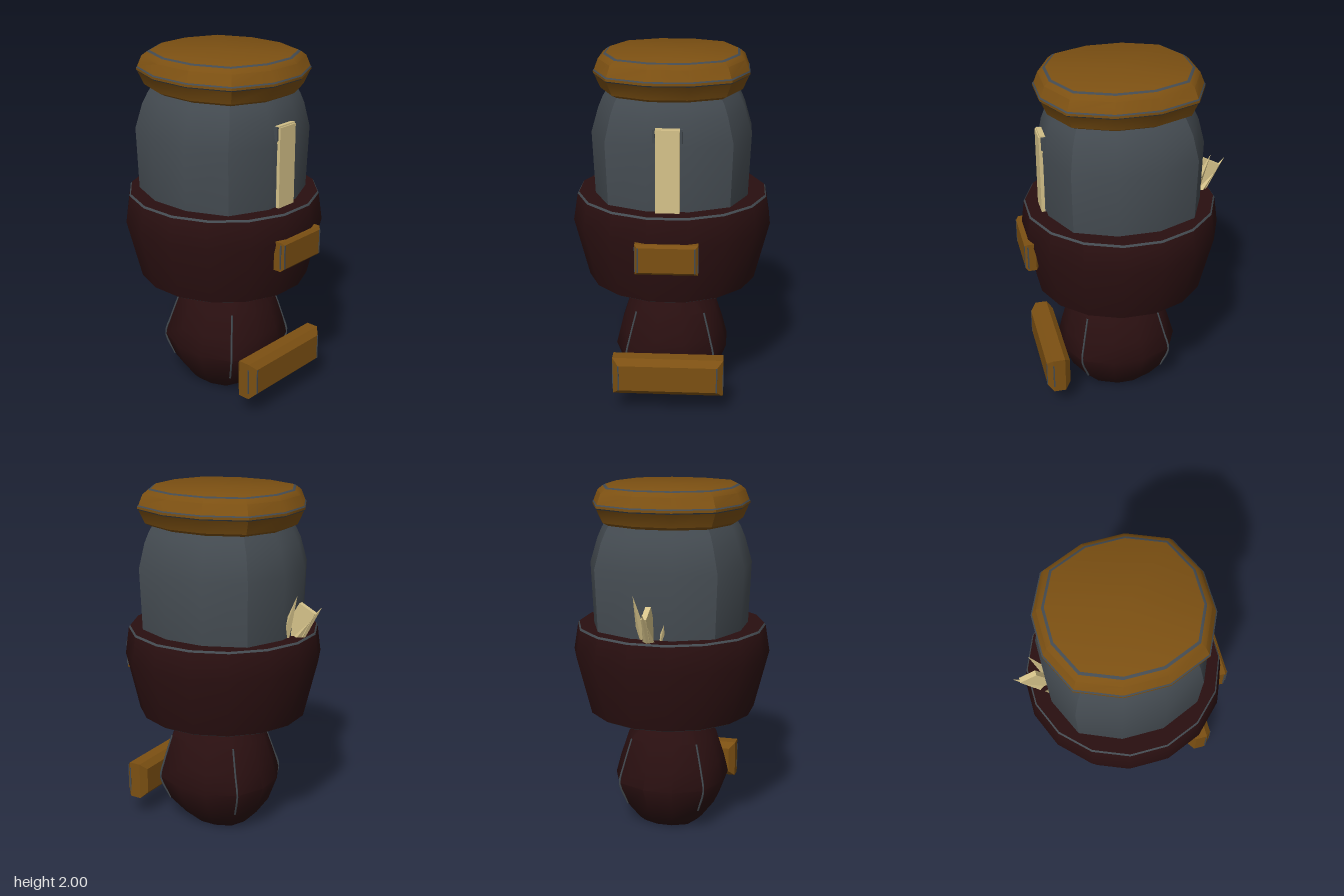
import * as THREE from 'three';
import { toCreasedNormals } from 'three/addons/utils/BufferGeometryUtils.js';

const mat = (name, color, extra = {}) => {
  const m = new THREE.MeshStandardMaterial({ color, ...extra });
  m.name = name;
  return m;
};

export function createModel() {
  const model = new THREE.Group();
  const gold = mat('gold', 0x7c5012);
  const grey = mat('grey', 0x444b51);
  const maroon = mat('maroon', 0x290f10);
  const cream = mat('cream', 0xd6c38a);

  const add = (name, geometry, material) => {
    const mesh = new THREE.Mesh(geometry, material);
    mesh.name = name;
    model.add(mesh);
    return mesh;
  };

  // Corner i of a ring [y, half width, half depth, centre z]; 12-sided rings bulge at the diagonals
  const corner = ([y, rx, rz, cz], i, n) => {
    const a = (i + 0.5) * 2 * Math.PI / n;
    const k = (n === 12 && i % 3 === 1 ? 1.06 : 1) / Math.cos(Math.PI / n);
    return new THREE.Vector3(Math.sin(a) * rx * k, y, cz + Math.cos(a) * rz * k);
  };

  // Closed loft through rings; a fifth ring value of 1 gives the band above it the trim colour
  const loft = (rings, n, crease = 0.6) => {
    const pos = [];
    const geo = new THREE.BufferGeometry();
    const push = (...pts) => pts.forEach(p => pos.push(p.x, p.y, p.z));
    const band = (trim, build) => {
      const start = pos.length / 3;
      for (let i = 0; i < n; i++) build(i, i + 1);
      geo.addGroup(start, pos.length / 3 - start, trim);
    };
    const cap = (ring, up) => band(0, (i, j) => {
      const c = new THREE.Vector3(0, ring[0], ring[3]);
      const a = corner(ring, i, n), b = corner(ring, j % n, n);
      up ? push(c, a, b) : push(c, b, a);
    });
    cap(rings[0], false);
    for (let r = 0; r < rings.length - 1; r++) {
      band(rings[r][4] || 0, (i, j) => {
        const a = corner(rings[r], i, n), b = corner(rings[r], j % n, n);
        const c = corner(rings[r + 1], j % n, n), d = corner(rings[r + 1], i, n);
        push(a, b, c, a, c, d);
      });
    }
    cap(rings[rings.length - 1], true);
    geo.setAttribute('position', new THREE.Float32BufferAttribute(pos, 3));
    return toCreasedNormals(geo, crease);
  };

  // Rounded foot with worn ridges down its four diagonal corners
  const foot = [
    [0, 0.17, 0.175, 0.03], [0.03, 0.2, 0.21, 0.035], [0.13, 0.275, 0.29, 0.045],
    [0.27, 0.325, 0.342, 0.048], [0.38, 0.298, 0.315, 0.052], [0.53, 0.25, 0.27, 0.055],
    [0.62, 0.155, 0.19, 0.065], [0.635, 0.135, 0.175, 0.07],
  ];
  add('foot', loft(foot, 12, 0.75), [maroon, grey]);
  for (const i of [1, 4, 7, 10]) {
    const path = new THREE.CatmullRomCurve3(foot.slice(2, 6).map(r => corner(r, i, 12)));
    add('footRidge', new THREE.TubeGeometry(path, 12, 0.006, 5), grey);
  }

  // Body with its hub showing below the belt
  add('hub', loft([[0.67, 0.2, 0.27, -0.01], [0.69, 0.23, 0.3, -0.01], [0.74, 0.24, 0.31, -0.01]], 12), [grey, grey]);
  add('body', loft([
    [1.0, 0.41, 0.425, 0.018], [1.2, 0.43, 0.44, 0.018], [1.56, 0.445, 0.45, 0.018],
    [1.7, 0.405, 0.42, 0.022], [1.76, 0.38, 0.395, 0.025], [1.81, 0.35, 0.37, 0.025],
  ], 12), [grey, grey]);

  // Wide belt with thin worn edges
  add('belt', loft([
    [0.695, 0.465, 0.47, 0.028, 1], [0.702, 0.476, 0.482, 0.028],
    [1.04, 0.56, 0.557, 0.024], [1.195, 0.535, 0.538, 0.024, 1],
    [1.206, 0.527, 0.53, 0.024],
  ], 16), [maroon, grey]);

  // Lid with worn rims
  add('lid', loft([
    [1.79, 0.355, 0.375, 0.026], [1.81, 0.39, 0.415, 0.026], [1.885, 0.422, 0.447, 0.026, 1],
    [1.892, 0.428, 0.454, 0.026], [1.905, 0.428, 0.454, 0.026, 1],
    [1.912, 0.422, 0.447, 0.026], [1.97, 0.4, 0.425, 0.026], [1.993, 0.372, 0.398, 0.026, 1],
    [2.0, 0.358, 0.384, 0.026],
  ], 12), [gold, grey]);

  // Chamfered gold plate with worn upright edges
  const plate = (name, w, y0, y1, z0, z1, c) => {
    const a = w / 2, h = (y1 - y0) / 2, y = (y0 + y1) / 2;
    const s = new THREE.Shape([
      [-a + c, -h + c], [a - c, -h + c], [a - c, h - c], [-a + c, h - c],
    ].map(p => new THREE.Vector2(...p)));
    const geo = new THREE.ExtrudeGeometry(s, {
      depth: z1 - z0 - 2 * c, bevelEnabled: true, bevelSegments: 1, bevelSize: c, bevelThickness: c,
    });
    add(name, geo.translate(0, y, z0 + c), gold);
    for (const side of [-1, 1]) {
      for (const [x, z] of [[a - c, z1], [a, z1 - c]]) {
        const edge = new THREE.BoxGeometry(0.008, 2 * (h - c), 0.008);
        add(name + 'Edge', edge.translate(side * (x - 0.002), y, z - 0.002), grey);
      }
    }
  };
  plate('toePlate', 0.625, 0.125, 0.345, 0.392, 0.53, 0.034);
  plate('beltBuckle', 0.34, 0.895, 1.065, 0.53, 0.606, 0.015);

  // Cream strap down the front, hooked over at the top on grey backing
  add('strap', new THREE.BoxGeometry(0.13, 0.47, 0.02).translate(0, 1.425, 0.476), cream);
  add('strapBacking', new THREE.BoxGeometry(0.128, 0.46, 0.03).translate(0, 1.42, 0.458), grey);
  const hook = new THREE.BoxGeometry(0.13, 0.012, 0.06).rotateX(-0.15);
  add('strapHook', hook.translate(0, 1.658, 0.45), cream);
  for (const side of [-1, 1]) {
    add('strapClip', new THREE.BoxGeometry(0.014, 0.075, 0.04).translate(side * 0.073, 1.625, 0.455), grey);
  }

  // Splintered strap end sticking out behind
  const splinter = new THREE.Shape([
    [0.36, 1.15], [0.41, 1.3], [0.47, 1.4], [0.565, 1.35], [0.48, 1.18],
  ].map(p => new THREE.Vector2(...p)));
  const stub = new THREE.ExtrudeGeometry(splinter, { depth: 0.03, bevelEnabled: false });
  add('strapStub', stub.rotateY(Math.PI / 2).translate(-0.015, 0, 0), cream);
  const spike = (from, to, radius) => {
    const a = new THREE.Vector3(...from), b = new THREE.Vector3(...to);
    const dir = b.clone().sub(a);
    const geo = new THREE.ConeGeometry(radius, dir.length(), 4).toNonIndexed();
    geo.computeVertexNormals();
    const mesh = add('strapSpike', geo, cream);
    mesh.position.copy(a).add(b).multiplyScalar(0.5);
    mesh.quaternion.setFromUnitVectors(new THREE.Vector3(0, 1, 0), dir.normalize());
  };
  spike([0, 1.17, -0.44], [0, 1.39, -0.6], 0.04);
  spike([0.05, 1.18, -0.39], [0.08, 1.46, -0.49], 0.035);
  spike([-0.05, 1.18, -0.4], [-0.08, 1.3, -0.445], 0.025);

  return model;
}
